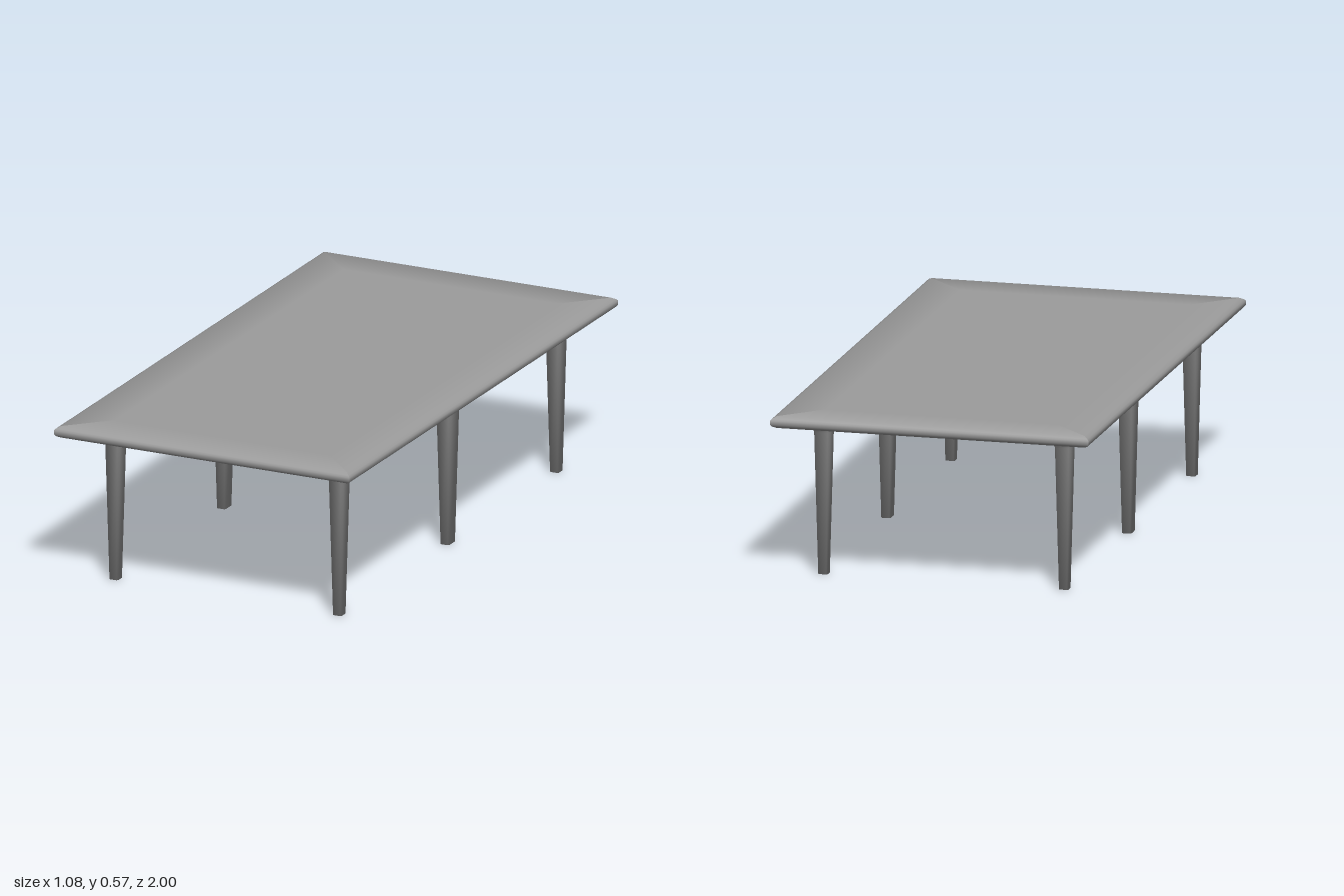
import * as THREE from 'three';

const material = new THREE.MeshStandardMaterial({ color: 0x9c9c9c });

// Lofts rings { x, y, z, chamfer, tilt } from bottom to top and caps both ends.
// tilt is the elevation of the surface normal in degrees; round blends normals around the corners.
function loft(rings, round) {
  const pos = [], nor = [], idx = [];
  for (const { x, y, z, chamfer: c, tilt } of rings) {
    const points = [[x, -z + c], [x, z - c], [x - c, z], [-x + c, z], [-x, z - c], [-x, -z + c], [-x + c, -z], [x - c, -z]];
    const e = THREE.MathUtils.degToRad(tilt);
    points.forEach(([px, pz], j) => {
      const facesX = j % 4 < 2;
      const n = new THREE.Vector3(Math.sign(px) * (facesX ? 1 : round), 0, Math.sign(pz) * (facesX ? round : 1));
      n.normalize().multiplyScalar(Math.cos(e)).setY(Math.sin(e));
      pos.push(px, y, pz);
      nor.push(n.x, n.y, n.z);
    });
  }
  for (let i = 0; i < rings.length - 1; i++) {
    for (let j = 0; j < 8; j++) {
      if (j % 2 && !rings[i].chamfer) continue; // square corners have no chamfer face
      const a = i * 8 + j, b = i * 8 + (j + 1) % 8;
      idx.push(a, a + 8, b, b, a + 8, b + 8);
    }
  }
  const top = (rings.length - 1) * 8;
  const step = rings[0].chamfer ? 1 : 2;
  for (let j = step; j < 8 - step; j += step) {
    idx.push(0, j, j + step);
    idx.push(top, top + j + step, top + j);
  }
  const geometry = new THREE.BufferGeometry();
  geometry.setAttribute('position', new THREE.Float32BufferAttribute(pos, 3));
  geometry.setAttribute('normal', new THREE.Float32BufferAttribute(nor, 3));
  geometry.setIndex(idx);
  return geometry;
}

// Tapered leg that flares out where it meets the top; extraZ makes it deeper.
function legGeometry(extraZ) {
  const profile = [[0.016, 0, -35], [0.0275, 0.482, -20], [0.04, 0.528, -45]];
  return loft(profile.map(([h, y, tilt]) => ({ x: h, y, z: h + extraZ, chamfer: h * 0.25, tilt })), 0.6);
}

export function createModel() {
  const group = new THREE.Group();

  // Slab with softly bevelled edges and square corners: inset, height, tilt
  const slab = [
    [0.15, 0.526, -90], [0.018, 0.526, -65], [0.005, 0.533, -45], [0, 0.54, -20],
    [0, 0.553, 20], [0.005, 0.559, 45], [0.018, 0.566, 65], [0.15, 0.566, 90],
  ];
  const slabRings = slab.map(([inset, y, tilt]) => ({ x: 0.542 - inset, y, z: 1 - inset, chamfer: 0, tilt }));
  const tableTop = new THREE.Mesh(loft(slabRings, 0), material);
  tableTop.name = 'tableTop';
  group.add(tableTop);

  // Three pairs of legs, the middle pair slightly deeper
  const outer = legGeometry(0.002), middle = legGeometry(0.009);
  for (const side of [1, -1]) {
    for (const [place, z] of [['front', 0.807], ['middle', 0], ['back', -0.807]]) {
      const leg = new THREE.Mesh(z === 0 ? middle : outer, material);
      leg.position.set(side * 0.41, 0, z);
      leg.name = `${place}${side > 0 ? 'Left' : 'Right'}Leg`;
      group.add(leg);
    }
  }
  return group;
}
